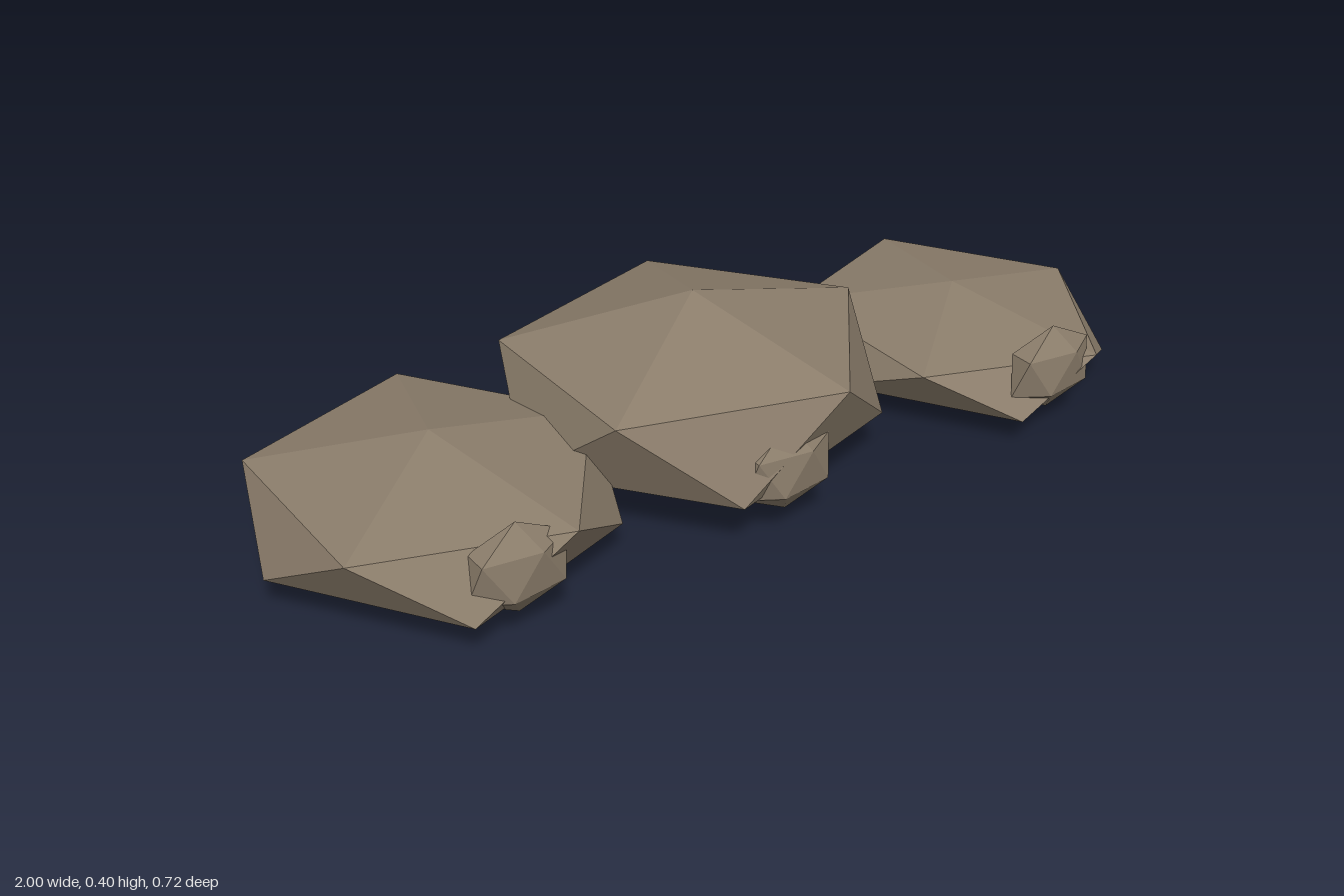
import * as THREE from 'three';

// Unit twenty-sided stone: two poles and two staggered rings of five
function stoneGeometry() {
  const h = 1 / Math.sqrt(5), r = 2 * h;
  const points = [0, 1, 0, 0, -1, 0];
  for (let i = 0; i < 5; i++) {
    const a = (i * Math.PI * 2) / 5, b = a + Math.PI / 5;
    points.push(r * Math.cos(a), h, r * Math.sin(a));
    points.push(r * Math.cos(b), -h, r * Math.sin(b));
  }
  const index = [];
  for (let i = 0; i < 5; i++) {
    const j = (i + 1) % 5;
    const u = 2 + 2 * i, l = u + 1, u2 = 2 + 2 * j, l2 = u2 + 1;
    index.push(0, u2, u, u, u2, l, l, u2, l2, 1, l, l2);
  }
  const indexed = new THREE.BufferGeometry();
  indexed.setAttribute('position', new THREE.Float32BufferAttribute(points, 3));
  indexed.setIndex(index);
  // Unshared corners give flat facets
  const geometry = indexed.toNonIndexed();
  geometry.computeVertexNormals();
  return geometry;
}

export function createModel() {
  const model = new THREE.Group();
  model.name = 'rockRow';
  const stone = new THREE.MeshStandardMaterial({ color: 0x8b7d6b });
  stone.name = 'stone';
  const geometry = stoneGeometry();

  const addStone = (name, position, scale) => {
    const mesh = new THREE.Mesh(geometry, stone);
    mesh.name = name;
    mesh.position.set(...position);
    mesh.scale.set(...scale);
    model.add(mesh);
  };

  // Each boulder: centre x, half width scale, half height
  const boulders = [
    ['right', -0.642, 0.4, 0.14],
    ['middle', -0.036, 0.453, 0.2],
    ['left', 0.668, 0.37, 0.11],
  ];
  for (const [side, x, width, height] of boulders) {
    addStone(side + 'Boulder', [x, height, -0.003], [width, height, 0.42]);
    // Small stone set into the boulder's front
    addStone(side + 'Pebble', [x, 0.1475, 0.3175], [0.118, 0.0975, 0.0525]);
  }
  return model;
}
